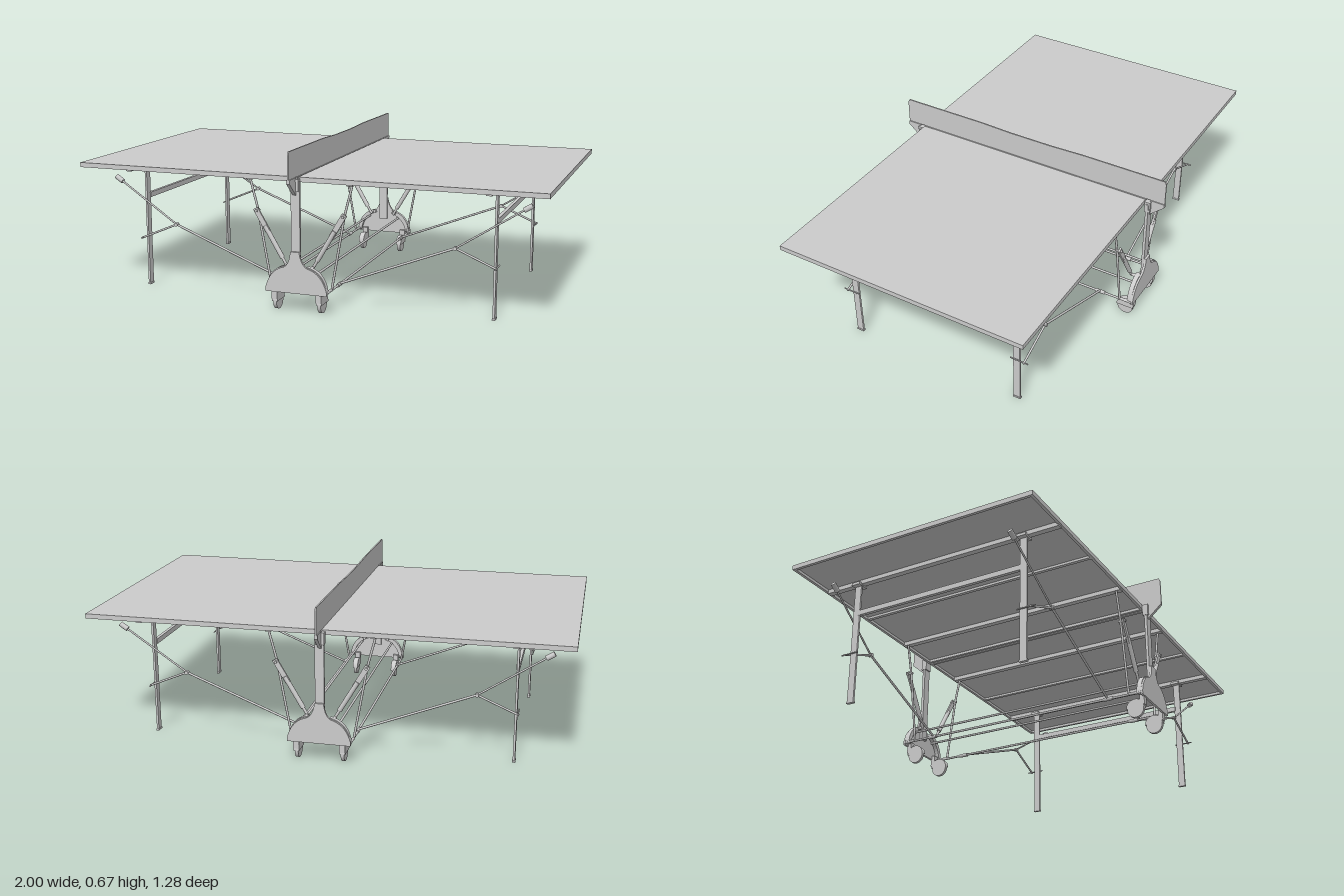
import * as THREE from 'three';

const grey = new THREE.MeshStandardMaterial({ color: 0xcccccc });
const V = (x, y, z) => new THREE.Vector3(x, y, z);

export function createModel() {
  const root = new THREE.Group();

  const add = (name, geo) => {
    const m = new THREE.Mesh(geo, grey);
    m.name = name;
    root.add(m);
    return m;
  };
  // box given by its min and max along each axis
  const box = (name, x0, x1, y0, y1, z0, z1) => {
    const m = add(name, new THREE.BoxGeometry(Math.abs(x1 - x0), y1 - y0, Math.abs(z1 - z0)));
    m.position.set((x0 + x1) / 2, (y0 + y1) / 2, (z0 + z1) / 2);
    return m;
  };
  // round rod between two points
  const rod = (name, a, b, r, sides = 10) => {
    const m = add(name, new THREE.CylinderGeometry(r, r, a.distanceTo(b), sides));
    m.position.copy(a).add(b).multiplyScalar(0.5);
    m.quaternion.setFromUnitVectors(V(0, 1, 0), b.clone().sub(a).normalize());
    return m;
  };
  // flat bar in the xy plane: w across, d along z
  const bar = (name, a, b, w, d) => {
    const m = add(name, new THREE.BoxGeometry(w, a.distanceTo(b), d));
    m.position.copy(a).add(b).multiplyScalar(0.5);
    m.rotation.z = Math.atan2(a.x - b.x, b.y - a.y);
    return m;
  };
  // outline in (z, y), extruded across x and centred on cx
  const sidePlate = (name, pts, thick, cx) => {
    const shape = new THREE.Shape(pts.map(p => new THREE.Vector2(p[0], p[1])));
    const geo = new THREE.ExtrudeGeometry(shape, { depth: thick, bevelEnabled: false });
    geo.translate(0, 0, -thick / 2).rotateY(-Math.PI / 2);
    const m = add(name, geo);
    m.position.x = cx;
    return m;
  };

  const Z = 0.553, NET_X = -0.006;

  // Two table halves with a rim and cross members underneath
  for (const s of [-1, 1]) {
    box('tableTop', s * 0.002, s, 0.547, 0.555, -Z, Z);
    box('endRim', s * 0.988, s, 0.535, 0.548, -Z, Z);
    box('middleRim', s * 0.004, s * 0.016, 0.535, 0.548, -Z, Z);
    for (const t of [-1, 1]) box('sideRim', s * 0.002, s, 0.535, 0.548, t * (Z - 0.012), t * Z);
    for (const x of [0.215, 0.77]) box('crossMember', s * (x - 0.012), s * (x + 0.012), 0.529, 0.548, -0.545, 0.545);
    box('crossMember', s * 0.49, s * 0.505, 0.537, 0.548, -0.545, 0.545);
  }

  // Net, dipping slightly in the middle
  sidePlate('net', [[-0.638, 0.556], [0.638, 0.556], [0.638, 0.655], [0.632, 0.668], [0.25, 0.668],
    [0.1, 0.663], [-0.1, 0.663], [-0.25, 0.668], [-0.632, 0.668], [-0.638, 0.655]], 0.006, NET_X);

  // Outline of the half-round wheel base with its flared neck
  const baseShape = new THREE.Shape();
  baseShape.moveTo(-0.132, 0.083);
  baseShape.lineTo(0.132, 0.083);
  baseShape.lineTo(0.132, 0.1);
  baseShape.quadraticCurveTo(0.112, 0.175, 0.05, 0.19);
  baseShape.quadraticCurveTo(0.022, 0.205, 0.016, 0.255);
  baseShape.lineTo(-0.022, 0.255);
  baseShape.quadraticCurveTo(-0.026, 0.205, -0.05, 0.19);
  baseShape.quadraticCurveTo(-0.112, 0.175, -0.132, 0.1);
  // Flange band following the arc
  const band = new THREE.Shape();
  band.moveTo(0.132, 0.09);
  band.quadraticCurveTo(0.122, 0.18, 0.045, 0.195);
  band.lineTo(0.04, 0.18);
  band.quadraticCurveTo(0.105, 0.16, 0.115, 0.09);

  for (const t of [-1, 1]) {
    // Net bracket, post and base
    sidePlate('netBracket', t > 0 ? [[0.575, 0.485], [0.638, 0.54], [0.638, 0.556], [0.575, 0.556]]
      : [[-0.575, 0.485], [-0.575, 0.556], [-0.638, 0.556], [-0.638, 0.54]], 0.014, NET_X);
    box('netClamp', NET_X - 0.018, NET_X + 0.018, 0.5, 0.55, t * 0.555, t * 0.58);
    box('centrePost', -0.022, 0.016, 0.15, 0.54, t * 0.562, t * 0.574);
    const plate = add('wheelBase', new THREE.ExtrudeGeometry(baseShape, { depth: 0.01, bevelEnabled: false, curveSegments: 10 }));
    plate.position.z = t > 0 ? 0.575 : -0.585;
    for (const s of [-1, 1]) {
      const flange = add('baseFlange', new THREE.ExtrudeGeometry(band, { depth: 0.02, bevelEnabled: false, curveSegments: 10 }));
      // half turn mirrors the flange to the other side
      flange.rotation.y = s < 0 ? Math.PI : 0;
      const zc = t * 0.567;
      flange.position.z = s < 0 ? zc + 0.01 : zc - 0.01;

      // Caster: wheel, hood and fork
      const x = s * 0.096, zw = t * 0.538;
      rod('wheel', V(x - 0.007, 0.036, zw), V(x + 0.007, 0.036, zw), 0.036, 28);
      const hood = add('wheelHood', new THREE.CylinderGeometry(0.039, 0.039, 0.024, 24, 1, false, 0, Math.PI));
      hood.material = grey.clone();
      hood.material.side = THREE.DoubleSide;
      hood.rotation.z = Math.PI / 2;
      hood.position.set(x, 0.04, zw);
      box('casterFork', x - 0.012, x + 0.012, 0.05, 0.1, t * 0.56, t * 0.58);

      // Hinged strut under each half
      const top = V(s * 0.22, 0.532, t * 0.523), knee = V(s * 0.187, 0.405, t * 0.523), foot = V(s * 0.132, 0.095, t * 0.523);
      rod('foldingStrut', top, knee, 0.005);
      rod('foldingStrut', knee, foot, 0.005);
      rod('strutPin', foot, V(s * 0.122, 0.095, t * 0.58), 0.006);

      // Spring damper leaning on the base
      const at = (k, z = 0.537) => V(s * (0.192 - 0.137 * k), 0.412 - 0.232 * k, t * z);
      bar('damperCasing', at(0), at(0.4), 0.022, 0.008);
      rod('damperBody', at(0.3), at(0.85), 0.01, 12);
      rod('damperRod', at(0.8), at(1), 0.006);
      rod('damperPin', at(0.98), at(0.98, 0.578), 0.007);
      rod('kneePin', at(0.04, 0.515), at(0.04, 0.548), 0.006);

      // Leg with foot and top fixing
      box('leg', s * 0.766, s * 0.775, 0.004, 0.532, t * 0.375, t * 0.405);
      box('legFoot', s * 0.764, s * 0.777, 0, 0.008, t * 0.373, t * 0.407);
      box('legFixing', s * 0.745, s * 0.795, 0.524, 0.536, t * 0.37, t * 0.41);
      rod('legPivot', V(s * 0.78, 0.217, t * 0.365), V(s * 0.78, 0.217, t * 0.445), 0.003);

      // Leg stay, link and release lever
      const joint = V(s * 0.615, 0.287, t * 0.427);
      rod('legStay', V(s * 0.13, 0.096, t * 0.427), joint, 0.005);
      rod('stayLink', joint, V(s * 0.785, 0.215, t * 0.427), 0.0045);
      rod('stayCollar', V(s * 0.13, 0.093, t * 0.41), V(s * 0.13, 0.093, t * 0.45), 0.008);
      rod('jointPin', V(s * 0.615, 0.287, t * 0.418), V(s * 0.615, 0.287, t * 0.436), 0.008);
      rod('releaseLever', joint, V(s * 0.905, 0.472, t * 0.41), 0.004);
      rod('leverGrip', V(s * 0.88, 0.456, t * 0.411), V(s * 0.912, 0.476, t * 0.409), 0.011);
    }
  }

  // Bars tying the legs and the two wheel bases together
  for (const s of [-1, 1]) {
    box('legCrossbar', s * 0.762, s * 0.776, 0.388, 0.41, -0.38, 0.38);
    rod('lowerTieRod', V(s * 0.13, 0.093, -0.578), V(s * 0.13, 0.093, 0.578), 0.005);
    rod('upperTieRod', V(s * 0.075, 0.16, -0.578), V(s * 0.075, 0.16, 0.578), 0.005);
  }
  return root;
}
